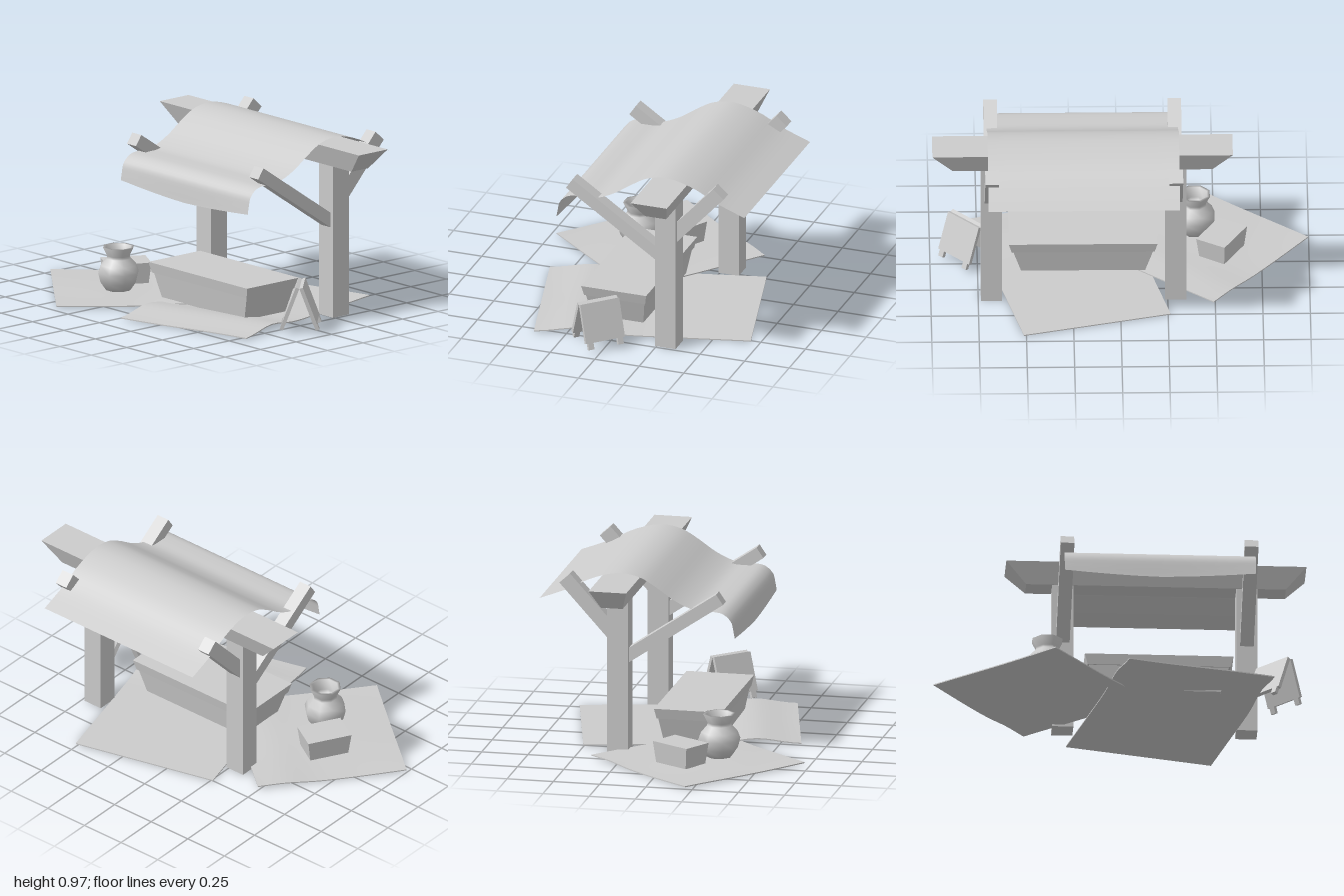
import * as THREE from 'three';

const grey = new THREE.MeshStandardMaterial({ color: 0xcccccc });
const greyFlat = new THREE.MeshStandardMaterial({ color: 0xcccccc, flatShading: true });
const greyThin = new THREE.MeshStandardMaterial({ color: 0xcccccc, side: THREE.DoubleSide });

function part(name, geometry, x = 0, y = 0, z = 0, material = greyFlat) {
  const mesh = new THREE.Mesh(geometry, material);
  mesh.name = name;
  mesh.position.set(x, y, z);
  return mesh;
}

// Move every vertex of a geometry by a rule
function bend(geometry, rule) {
  const p = geometry.attributes.position;
  const v = new THREE.Vector3();
  for (let i = 0; i < p.count; i++) {
    rule(v.fromBufferAttribute(p, i));
    p.setXYZ(i, v.x, v.y, v.z);
  }
  geometry.computeVertexNormals();
  return geometry;
}

// Box whose bottom face is scaled by sx, sz
function taperedBox(w, h, d, sx, sz) {
  return bend(new THREE.BoxGeometry(w, h, d), (v) => {
    if (v.y < 0) { v.x *= sx; v.z *= sz; }
  });
}

// Square bar between two [z, y] points
function brace(name, x, [z0, y0], [z1, y1], thick) {
  const len = Math.hypot(z1 - z0, y1 - y0);
  const bar = part(name, new THREE.BoxGeometry(0.072, thick, len), x, (y0 + y1) / 2, (z0 + z1) / 2);
  bar.rotation.x = Math.atan2(-(y1 - y0), z1 - z0);
  return bar;
}

// Thin ground cloth with a height rule
function rug(name, w, d, x, z, turn, height) {
  const g = bend(new THREE.BoxGeometry(w, 0.006, d, 20, 1, 24), (v) => { v.y += height(v.x, v.z); });
  const mesh = part(name, g, x, 0.003, z, greyThin);
  mesh.rotation.y = turn;
  return mesh;
}

// Awning draped over the beam, swept from a side profile of [z, y]
function awning() {
  const curve = new THREE.CatmullRomCurve3([
    [-0.73, 0.81], [-0.58, 0.868], [-0.44, 0.938], [-0.3, 0.972], [-0.19, 0.955], [-0.1, 0.905],
    [0, 0.838], [0.1, 0.795], [0.19, 0.79], [0.26, 0.78], [0.305, 0.74], [0.318, 0.69], [0.325, 0.65],
  ].map(([z, y]) => new THREE.Vector3(0, y, z)));
  const g = bend(new THREE.PlaneGeometry(1.01, 1, 8, 40), (v) => {
    const t = 0.5 - v.y;
    const p = curve.getPoint(t);
    const sag = 0.03 * (1 - Math.abs(v.x / 0.505) ** 1.5) * THREE.MathUtils.smoothstep(t, 0.85, 1);
    v.set(v.x, p.y - sag, p.z);
  });
  return part('awning', g, 0.195, 0, 0, greyThin);
}

// Folding sign: two leaning panels with notched feet
function foldingSign() {
  const sign = new THREE.Group();
  sign.name = 'foldingSign';
  const w = 0.113, h = 0.245, foot = 0.035, inner = 0.07;
  const outline = new THREE.Shape([
    [-w, 0], [w, 0], [w, -h + foot], [w - 0.012, -h + foot], [w - 0.012, -h], [inner, -h], [inner, -h + foot],
    [-inner, -h + foot], [-inner, -h], [-w + 0.012, -h], [-w + 0.012, -h + foot], [-w, -h + foot],
  ].map(([x, y]) => new THREE.Vector2(x, y)));
  for (const side of [0, 1]) {
    const hinge = new THREE.Group();
    hinge.name = side ? 'backHinge' : 'frontHinge';
    hinge.rotation.y = side * Math.PI;
    const panel = part('signPanel', new THREE.ExtrudeGeometry(outline, { depth: 0.02, bevelEnabled: false }));
    panel.rotation.x = -0.36;
    hinge.add(panel);
    sign.add(hinge);
  }
  sign.position.set(0.81, 0.25, 0.05);
  sign.rotation.y = -Math.PI / 4;
  return sign;
}

export function createModel() {
  const stall = new THREE.Group();
  stall.name = 'marketStall';

  // Frame: posts, braces and flared top beam
  for (const x of [-0.292, 0.68]) {
    stall.add(part('post', new THREE.BoxGeometry(0.112, 0.83, 0.114), x, 0.418, -0.3));
    stall.add(brace('frontBrace', x, [-0.3, 0.493], [0.247, 0.862], 0.066));
    stall.add(brace('backBrace', x, [-0.3, 0.613], [-0.59, 0.932], 0.078));
  }
  stall.add(part('topBeam', taperedBox(1.585, 0.115, 0.203, 0.865, 0.58), 0.2, 0.8825, -0.3));
  stall.add(awning());

  // Counter: tapered bin with a lip
  stall.add(part('counterLip', taperedBox(0.785, 0.057, 0.365, 0.96, 0.94), 0.193, 0.182, 0.046));
  stall.add(part('counterBin', taperedBox(0.74, 0.135, 0.33, 0.885, 0.87), 0.193, 0.089, 0.046));

  // Open jar with eight sides
  const jarProfile = [
    [0, 0.03], [0.068, 0.03], [0.1, 0.075], [0.113, 0.125], [0.098, 0.165], [0.066, 0.2],
    [0.063, 0.215], [0.086, 0.262], [0.07, 0.262], [0.052, 0.21], [0.052, 0.19], [0, 0.18],
  ].map(([r, y]) => new THREE.Vector2(r, y));
  const jar = part('jar', new THREE.LatheGeometry(jarProfile, 8), -0.4, 0, 0.262, grey);
  jar.rotation.y = Math.PI / 8;
  stall.add(jar);

  // Small tapered box
  const crate = part('smallBox', taperedBox(0.172, 0.115, 0.242, 0.88, 0.88), -0.54, 0.0755, 0.085);
  crate.rotation.y = -0.53;
  stall.add(crate);

  stall.add(foldingSign());

  // Ground cloths
  stall.add(rug('sideRug', 0.8, 0.8, -0.435, 0.155, -0.685,
    (x, z) => 0.011 + 0.006 * Math.sin(6 * x + 1) * Math.cos(5 * z) + 0.008 * Math.exp(-((z + 0.25) ** 2) / 0.015)));
  stall.add(rug('mainRug', 0.8, 1.15, 0.265, -0.043, 0.246,
    (x, z) => 0.004 + 0.03 * Math.exp(-((z - 0.34) ** 2) / 0.022) + 0.004 * Math.sin(7 * x) * Math.max(0, z)));
  return stall;
}
